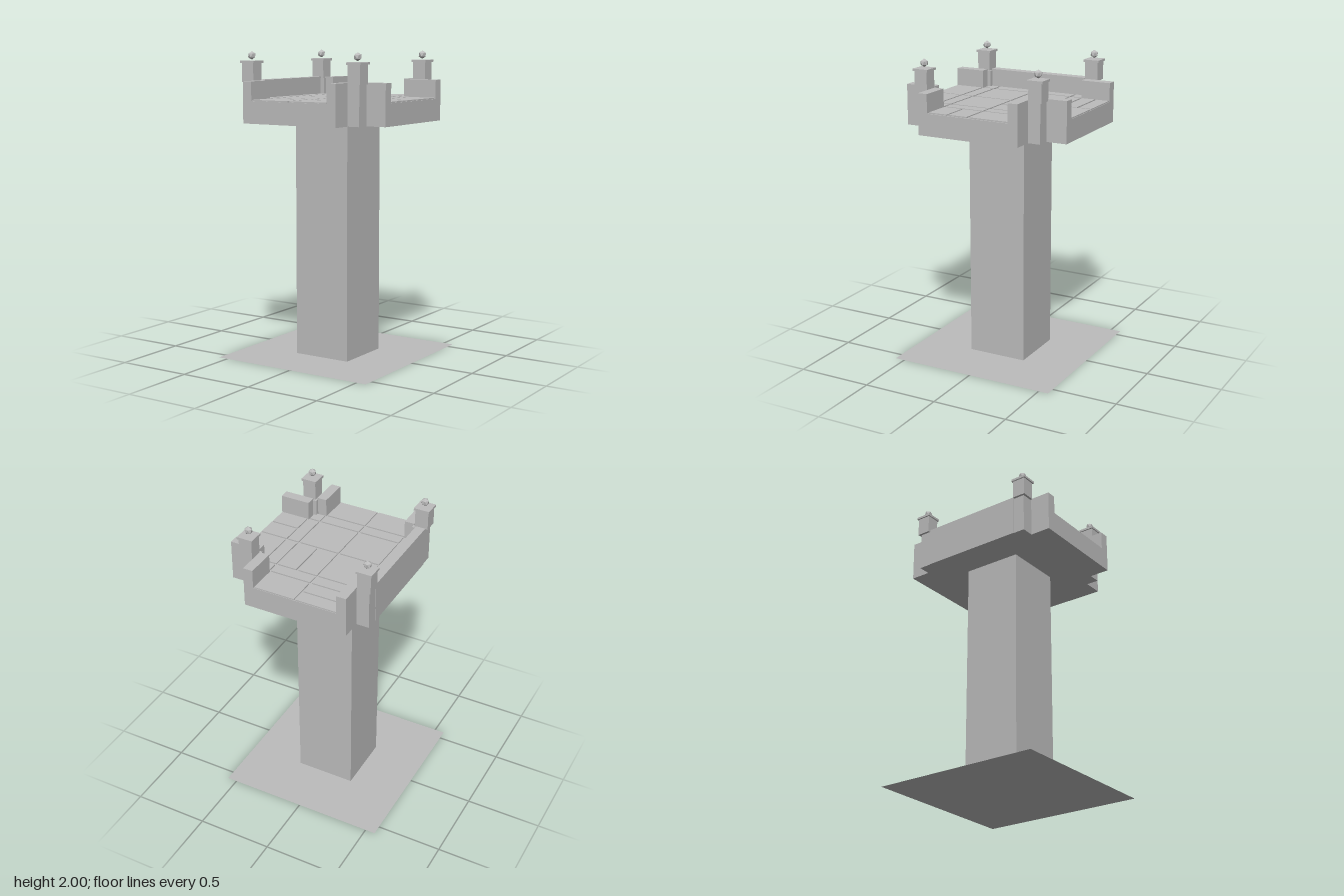
import * as THREE from 'three';

const stone = new THREE.MeshStandardMaterial({ color: 0xbcbcbc });
stone.name = 'grey stone';
const ground = new THREE.MeshStandardMaterial({ color: 0xbcbcbc, side: THREE.DoubleSide });
ground.name = 'grey ground';

// Box given by its lower and upper limits on each axis
function box(name, [x0, x1], [y0, y1], [z0, z1]) {
  const g = new THREE.BoxGeometry(x1 - x0, y1 - y0, z1 - z0);
  g.translate((x0 + x1) / 2, (y0 + y1) / 2, (z0 + z1) / 2);
  const mesh = new THREE.Mesh(g, stone);
  mesh.name = name;
  return mesh;
}

export function createModel() {
  const model = new THREE.Group();
  model.name = 'towerPlatform';
  const END = 0.566, ARM = 0.347, INNER = 0.282, LEFT = -0.433;
  const BOTTOM = 1.55, SLAB = 1.692, FLOOR = 1.7, WALL = 1.815;

  // Ground plate and square shaft
  const plate = new THREE.Mesh(new THREE.PlaneGeometry(2 * END, 2 * END).rotateX(-Math.PI / 2), ground);
  plate.name = 'groundPlate';
  model.add(plate, box('shaft', [-0.2, 0.196], [0, BOTTOM], [-0.198, 0.198]));

  // Cross-shaped slab, short on the left side
  const outline = [
    [-ARM, -END], [ARM, -END], [ARM, -ARM], [END, -ARM], [END, ARM], [ARM, ARM],
    [ARM, END], [-ARM, END], [-ARM, ARM], [LEFT, ARM], [LEFT, -ARM], [-ARM, -ARM],
  ].map(([x, z]) => new THREE.Vector2(x, -z));
  const slab = new THREE.Mesh(
    new THREE.ExtrudeGeometry(new THREE.Shape(outline), { depth: SLAB - BOTTOM, bevelEnabled: false })
      .rotateX(-Math.PI / 2).translate(0, BOTTOM, 0), stone);
  slab.name = 'platformSlab';
  model.add(slab);

  // Parapets beside the three openings, and the closed left wall
  const walls = new THREE.Group();
  walls.name = 'parapets';
  const h = [SLAB, WALL];
  for (const s of [-1, 1]) {
    const side = s < 0 ? [-ARM, -INNER] : [INNER, ARM];
    walls.add(
      box('frontParapet', side, h, [0.367, END]),
      box('backParapet', side, h, [-END, -0.367]),
      box('leftSideParapet', [0.367, END], h, side));
  }
  walls.add(box('closedWall', [LEFT, -0.37], h, [-ARM, ARM]));
  model.add(walls);

  // Paving: x range, then the z ranges of its tiles
  const rows = [[-0.363, -0.292], [-0.278, -0.009], [0.005, 0.274], [0.288, 0.36]];
  const frontRow = [0.374, 0.56];
  const paving = [
    [[-0.367, -0.295], rows],
    [[-0.28, -0.009], [[-0.563, -0.478], [-0.464, -0.377], ...rows, frontRow]],
    [[0.003, 0.274], [[-0.563, -0.377], rows[0], rows[2], rows[3], frontRow]],
    [[0.003, 0.132], [rows[1]]],
    [[0.146, 0.274], [rows[1]]],
    [[0.288, 0.36], rows],
    [[0.374, 0.558], [rows[1], [0.005, 0.133], [0.146, 0.274]]],
  ];
  const tiles = new THREE.Group();
  tiles.name = 'floorTiles';
  for (const [xs, zs] of paving)
    for (const z of zs) tiles.add(box('tile', xs, [SLAB, FLOOR], z));
  model.add(tiles);

  // Corner posts with flat caps and faceted finials
  const finialShape = new THREE.IcosahedronGeometry(0.027, 0)
    .rotateZ(Math.atan(2 / (1 + Math.sqrt(5))));
  for (const sx of [-1, 1]) for (const sz of [-1, 1]) {
    const post = new THREE.Group();
    post.name = 'cornerPost';
    const span = (s, a, b) => (s > 0 ? [a, b] : [-b, -a]);
    const part = (name, a, b, y) => post.add(box(name, span(sx, a, b), y, span(sz, a, b)));
    part('postBase', 0.342, 0.43, [BOTTOM, 1.805]);
    part('postHead', 0.356, 0.445, [1.805, 1.925]);
    part('postCap', 0.348, 0.453, [1.925, 1.94]);
    const finial = new THREE.Mesh(finialShape, stone);
    finial.name = 'finial';
    finial.position.set(0.4 * sx, 1.973, 0.4 * sz);
    post.add(finial);
    model.add(post);
  }
  return model;
}
